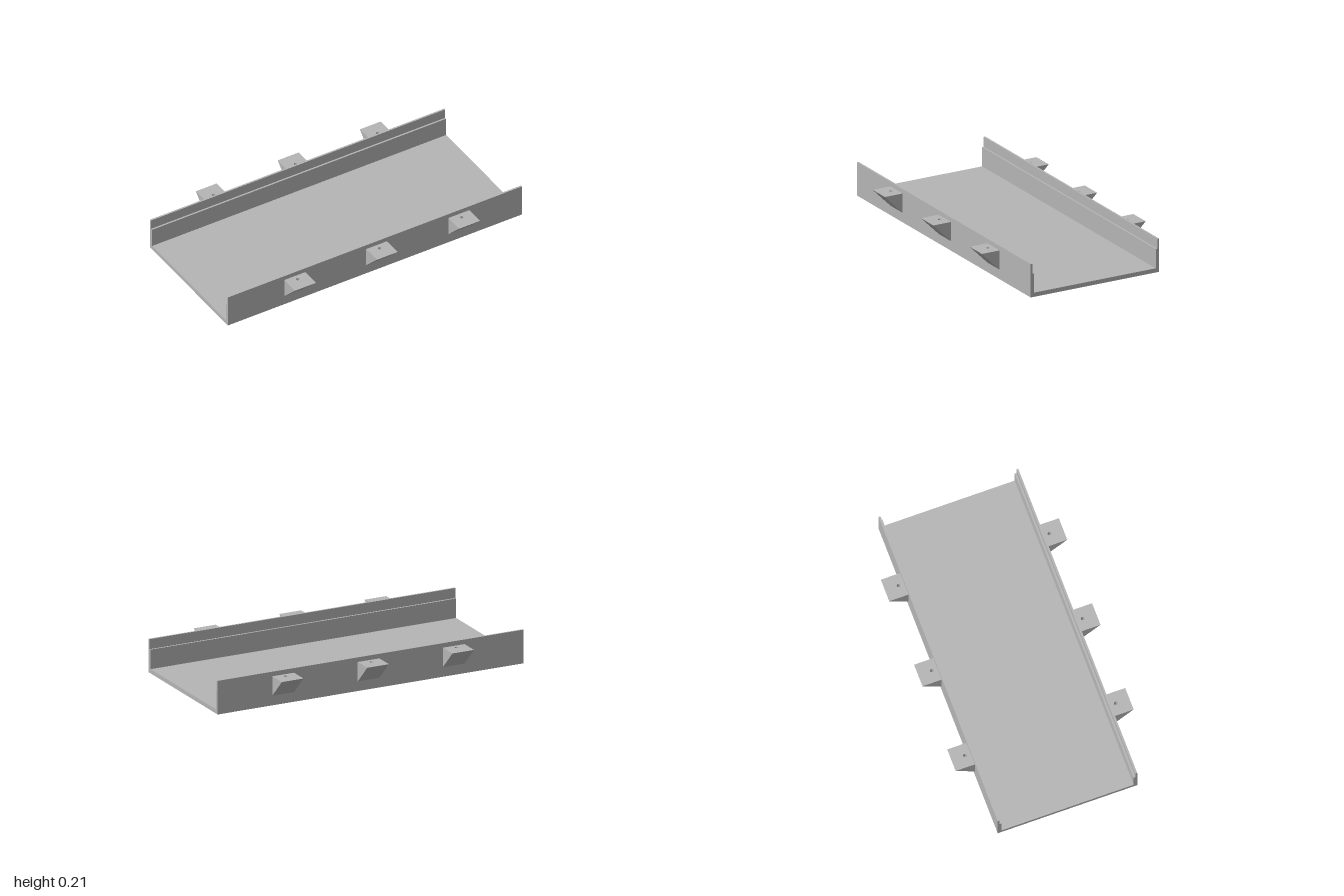
import * as THREE from 'three';

const HALF_WIDTH = 0.431; // outer face of the side walls
const REACH = 0.55; // outer edge of the brackets
const BRACKET_TOP = 0.178, BRACKET_BOTTOM = 0.059, BRACKET_HALF = 0.071;
const HOLE_Z = 0.466, HOLE_R = 0.011, HOLE_DEPTH = 0.05;

const grey = new THREE.MeshStandardMaterial({ color: 0xb5b5b5 });
grey.name = 'plain grey';

function part(name, geometry) {
  const mesh = new THREE.Mesh(geometry, grey);
  mesh.name = name;
  return mesh;
}

// Floor and stepped side walls as one section, swept along x
function makeTray() {
  const half = [[HALF_WIDTH, 0], [HALF_WIDTH, 0.206], [0.42, 0.206], [0.42, 0.145], [0.409, 0.145], [0.409, 0.026]];
  const mirrored = half.map(([z, y]) => [-z, y]).reverse();
  const shape = new THREE.Shape([...half, ...mirrored].map(([z, y]) => new THREE.Vector2(z, y)));
  const geometry = new THREE.ExtrudeGeometry(shape, { depth: 2, bevelEnabled: false });
  geometry.translate(0, 0, -1).rotateY(-Math.PI / 2);
  return part('tray', geometry);
}

// Wedge bracket with a blind screw hole in its top
function makeBracket() {
  const bracket = new THREE.Group();
  const corner = (x) => ({
    a: [x, BRACKET_TOP, HALF_WIDTH],
    b: [x, BRACKET_TOP, REACH],
    c: [x, BRACKET_BOTTOM, HALF_WIDTH],
  });
  const p = corner(BRACKET_HALF), n = corner(-BRACKET_HALF);

  // Triangular cheeks and sloping underside
  const wedge = new THREE.BufferGeometry();
  const points = [p.a, p.b, p.c, n.a, n.c, n.b, p.b, n.b, n.c, p.b, n.c, p.c].flat();
  wedge.setAttribute('position', new THREE.Float32BufferAttribute(points, 3));
  wedge.computeVertexNormals();
  bracket.add(part('bracketWedge', wedge));

  // Top plate with the hole cut out
  const top = new THREE.Shape([
    new THREE.Vector2(-BRACKET_HALF, -REACH), new THREE.Vector2(BRACKET_HALF, -REACH),
    new THREE.Vector2(BRACKET_HALF, -HALF_WIDTH), new THREE.Vector2(-BRACKET_HALF, -HALF_WIDTH),
  ]);
  top.holes.push(new THREE.Path().absarc(0, -HOLE_Z, HOLE_R, 0, Math.PI * 2, true));
  const topGeometry = new THREE.ShapeGeometry(top, 12);
  topGeometry.rotateX(-Math.PI / 2).translate(0, BRACKET_TOP, 0);
  bracket.add(part('bracketTop', topGeometry));

  // Hole wall, turned inside out, and hole floor
  const bore = new THREE.CylinderGeometry(HOLE_R, HOLE_R, HOLE_DEPTH, 24, 1, true);
  bore.scale(-1, 1, 1);
  bore.translate(0, BRACKET_TOP - HOLE_DEPTH / 2, HOLE_Z);
  const normals = bore.attributes.normal;
  for (let i = 0; i < normals.count; i++) {
    normals.setXYZ(i, -normals.getX(i), 0, -normals.getZ(i));
  }
  bracket.add(part('holeWall', bore));
  const floor = new THREE.CircleGeometry(HOLE_R, 24);
  floor.rotateX(-Math.PI / 2).translate(0, BRACKET_TOP - HOLE_DEPTH, HOLE_Z);
  bracket.add(part('holeFloor', floor));
  return bracket;
}

export function createModel() {
  const model = new THREE.Group();
  model.name = 'mountingTray';
  model.add(makeTray());

  // Three brackets on each long side
  for (const x of [-0.545, 0.012, 0.571]) {
    for (const [name, turn] of [['frontBracket', 0], ['backBracket', Math.PI]]) {
      const bracket = makeBracket();
      bracket.name = name;
      bracket.position.x = x;
      bracket.rotation.y = turn;
      model.add(bracket);
    }
  }
  return model;
}
